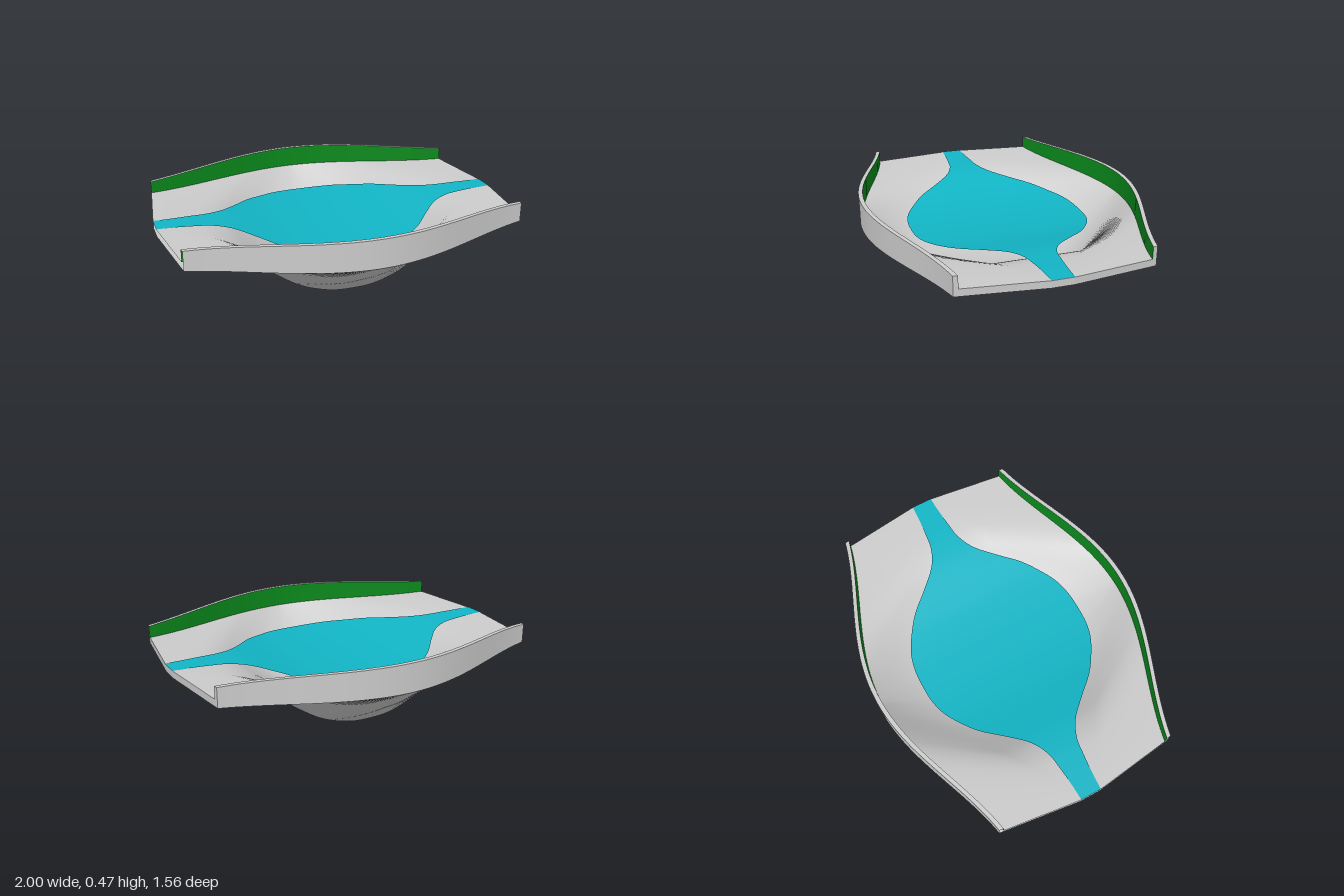
import * as THREE from 'three';

const STEPS = 96;

// Profiles from the middle (t = 0) to either end (|t| = 1)
function profile(values) {
  const curve = new THREE.SplineCurve(values.map((v, i) => new THREE.Vector2(i / 10, v)));
  return t => curve.getPoint(Math.abs(t)).y;
}
const depth = profile([1, 0.985, 0.92, 0.81, 0.63, 0.42, 0.22, 0.1, 0.045, 0.015, 0]);
const sheetWidth = profile([0.51, 0.505, 0.48, 0.425, 0.35, 0.24, 0.14, 0.09, 0.075, 0.065, 0.06]);
const floorWidth = profile([0.38, 0.38, 0.375, 0.365, 0.35, 0.32, 0.27, 0.21, 0.15, 0.1, 0.06]);

// Lengthwise lines; t runs from -1 to 1, s is the side (-1 back, 1 front).
// Rim points crowd towards the middle, so the banks fan out from there.
const THICK = 0.04;
const rimX = t => 0.94 * t * Math.abs(t);
const rimZ = t => 0.5 + 0.28 * (0.5 + 0.5 * Math.cos(Math.PI * rimX(t) / 1.15));
const railY = t => 0.465 - 0.036 * rimX(t) ** 2;
const rimY = t => 0.305 + 0.023 * rimX(t) ** 2;
const outerBottom = s => t => [rimX(t), rimY(t), s * rimZ(t)];
const outerTop = s => t => [rimX(t), railY(t), s * rimZ(t)];
const innerTop = s => t => [1.004 * rimX(t), railY(t), s * (rimZ(t) - 0.025)];
const innerBase = s => t => [1.004 * rimX(t), rimY(t) + THICK, s * (rimZ(t) - 0.025)];
const floorEdge = (s, lift) => t => [t, 0.325 - 0.325 * depth(t) + lift, s * floorWidth(t)];
const sheetEdge = s => t => [t, 0.367 - 0.095 * depth(t), s * sheetWidth(t)];

// Smooth surface through a row of lengthwise lines
function loft(...lines) {
  const pos = [], idx = [], n = lines.length;
  for (let i = 0; i <= STEPS; i++) {
    for (const line of lines) pos.push(...line(-1 + 2 * i / STEPS));
    for (let j = 0; i < STEPS && j < n - 1; j++) {
      const k = i * n + j;
      idx.push(k, k + 1, k + n, k + n, k + 1, k + n + 1);
    }
  }
  const g = new THREE.BufferGeometry();
  g.setAttribute('position', new THREE.Float32BufferAttribute(pos, 3));
  g.setIndex(idx);
  g.computeVertexNormals();
  return g;
}

// Flat four-cornered face closing the +x end
function endFace(...lines) {
  const g = new THREE.BufferGeometry();
  g.setAttribute('position', new THREE.Float32BufferAttribute(lines.flatMap(l => l(1)), 3));
  g.setIndex([0, 1, 2, 0, 2, 3]);
  g.computeVertexNormals();
  return g;
}

export function createModel() {
  const model = new THREE.Group();
  const material = color => new THREE.MeshStandardMaterial({ color, side: THREE.DoubleSide });
  const grey = material(0xcccccc), teal = material(0x12b5c6), green = material(0x0b8a1c);
  const add = (name, geometry, mat = grey) => {
    const mesh = new THREE.Mesh(geometry, mat);
    mesh.name = name;
    model.add(mesh);
  };

  // Basin shell, with the coloured sheet lying across it
  add('basinTop', loft(innerBase(-1), floorEdge(-1, THICK), floorEdge(1, THICK), innerBase(1)));
  add('basinUnderside', loft(outerBottom(1), floorEdge(1, 0), floorEdge(-1, 0), outerBottom(-1)));
  add('sheet', loft(sheetEdge(-1), sheetEdge(1)), teal);

  for (const s of [-1, 1]) {
    const side = s < 0 ? 'back' : 'front';
    // Lines are swapped on the front side so faces point outwards
    const sided = (a, b) => s < 0 ? loft(a(s), b(s)) : loft(b(s), a(s));

    // Rail along the long side, coloured on its inner face
    add(side + 'RailOuterFace', sided(outerBottom, outerTop));
    add(side + 'RailTop', sided(outerTop, innerTop));
    add(side + 'RailInnerFace', sided(innerTop, innerBase), green);

    // The rail and slab are closed at +x and left open at -x
    add(side + 'RailEnd', endFace(outerBottom(s), outerTop(s), innerTop(s), innerBase(s)));
    add(side + 'SlabEnd', endFace(outerBottom(s), innerBase(s), floorEdge(s, THICK), floorEdge(s, 0)));
  }
  add('channelEnd', endFace(floorEdge(-1, 0), floorEdge(-1, THICK), floorEdge(1, THICK), floorEdge(1, 0)));
  return model;
}
